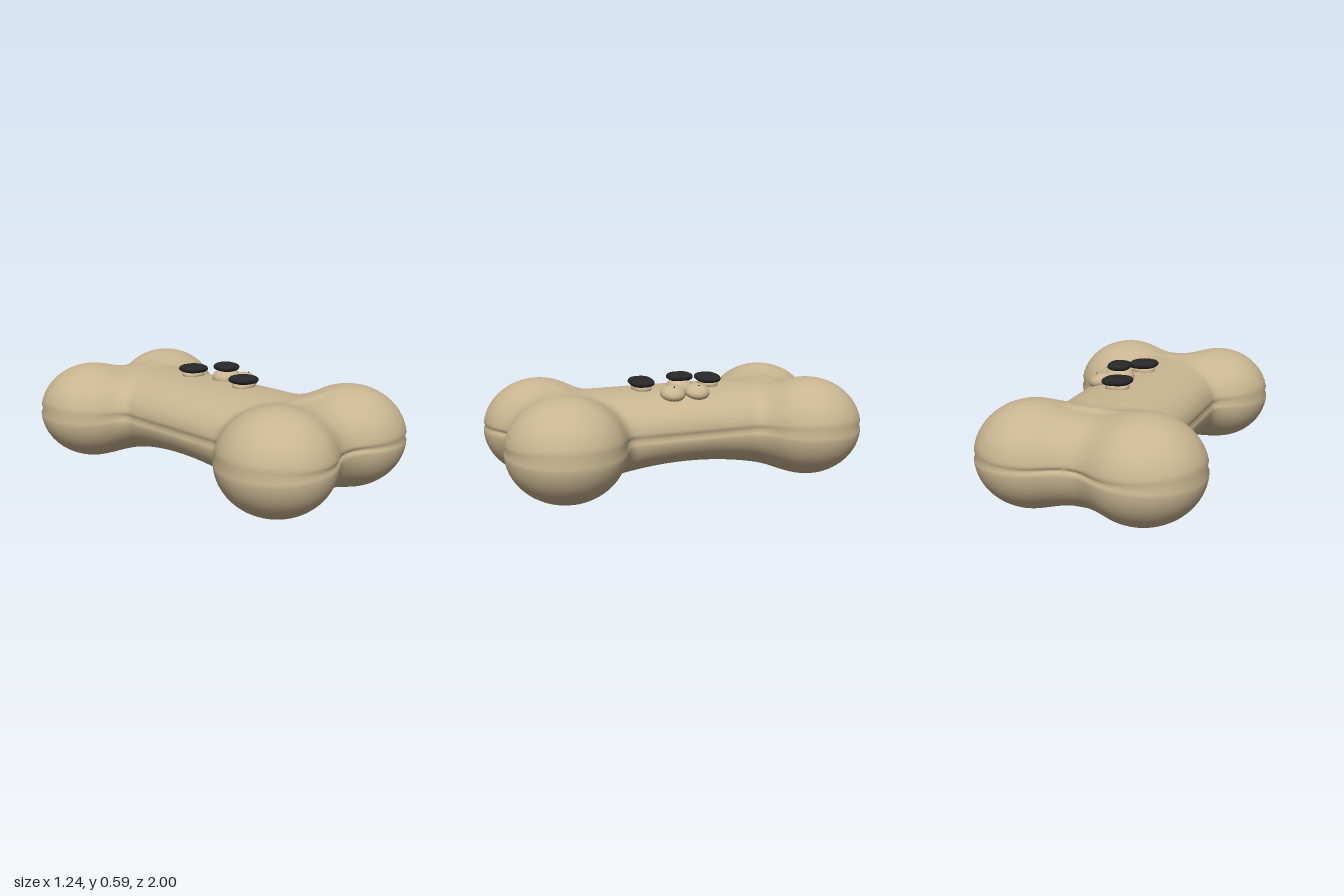
import * as THREE from 'three';
import { mergeVertices } from 'three/addons/utils/BufferGeometryUtils.js';

const fabric = new THREE.MeshStandardMaterial({ color: 0xc9b591 });
fabric.name = 'tan fabric';
const black = new THREE.MeshStandardMaterial({ color: 0x272727 });
black.name = 'black felt';

const SEAM_Y = 0.29;

// Rounded knobs at the bone ends: centre x, z and radii
const knobs = [
  { c: [0.31, 0.275, 0.685], r: [0.31, 0.27, 0.305] },
  { c: [-0.275, 0.27, 0.695], r: [0.3, 0.27, 0.305] },
  { c: [-0.31, 0.27, -0.69], r: [0.31, 0.27, 0.31] },
  { c: [0.26, 0.275, -0.695], r: [0.3, 0.27, 0.305] },
  // stuffing between each pair of knobs
  { c: [0, 0.265, 0.68], r: [0.36, 0.225, 0.225] },
  { c: [-0.02, 0.265, -0.68], r: [0.36, 0.225, 0.225] },
];

function ellipsoid(x, y, z, { c, r }) {
  const a = (x - c[0]) / r[0], b = (y - c[1]) / r[1], d = (z - c[2]) / r[2];
  const k0 = Math.hypot(a, b, d);
  const k1 = Math.hypot(a / r[0], b / r[1], d / r[2]);
  return k1 < 1e-6 ? -r[1] : k0 * (k0 - 1) / k1;
}

function blend(a, b, k) {
  const h = Math.max(k - Math.abs(a - b), 0) / k;
  return Math.min(a, b) - h * h * k * 0.25;
}

// Signed distance to the stuffed bone, with a shallow groove along the seam
function bone(x, y, z) {
  const sag = 0.13 * z * z;
  const u = Math.abs(x + 0.004) / 0.343, v = Math.abs(y - 0.295 + sag) / (0.205 + sag);
  const p = Math.pow(Math.pow(u, 2.3) + Math.pow(v, 2.3), 1 / 2.3);
  let d = Math.max((p - 1) * 0.24, Math.abs(z) - 0.6);
  for (const k of knobs) d = blend(d, ellipsoid(x, y, z, k), 0.07);
  return d + 0.009 * Math.exp(-(((y - SEAM_Y) / 0.012) ** 2));
}

// Capsule-shaped grid of rays, each ended where it meets the bone surface
function boneGeometry() {
  const around = 128, cap = 30, along = 76, half = 0.68;
  const rows = [];
  for (let i = 0; i <= cap; i++) rows.push([-half, -Math.PI / 2 * (1 - i / cap)]);
  for (let i = 1; i < along; i++) rows.push([half * (2 * i / along - 1), 0]);
  for (let i = 0; i <= cap; i++) rows.push([half, Math.PI / 2 * i / cap]);

  const pos = [], index = [];
  rows.forEach(([z0, phi], i) => {
    for (let j = 0; j < around; j++) {
      const t = j / around * Math.PI * 2;
      const pole = i === 0 || i === rows.length - 1;
      const dx = pole ? 0 : Math.cos(t) * Math.cos(phi);
      const dy = pole ? 0 : Math.sin(t) * Math.cos(phi);
      const dz = Math.sin(phi);
      let lo = 0, hi = 1;
      for (let n = 0; n < 24; n++) {
        const m = (lo + hi) / 2;
        if (bone(dx * m, SEAM_Y + dy * m, z0 + dz * m) < 0) lo = m; else hi = m;
      }
      pos.push(dx * lo, SEAM_Y + dy * lo, z0 + dz * lo);
      if (i < rows.length - 1) {
        const a = i * around + j, b = i * around + (j + 1) % around;
        index.push(a, b, a + around, b, b + around, a + around);
      }
    }
  });
  let g = new THREE.BufferGeometry();
  g.setAttribute('position', new THREE.Float32BufferAttribute(pos, 3));
  g.setIndex(index);
  g = mergeVertices(g, 1e-5);
  g.computeVertexNormals();
  return g;
}

// Puffy rounded button of unit radius and unit height, squared off a little in plan
function buttonGeometry() {
  const profile = [];
  for (let i = 0; i <= 16; i++) {
    const a = -Math.PI / 2 + Math.PI * i / 16;
    const c = Math.max(Math.cos(a), 0);
    profile.push(new THREE.Vector2(Math.pow(c, 0.55), 0.5 * Math.sin(a)));
  }
  const g = new THREE.LatheGeometry(profile, 40);
  const p = g.attributes.position;
  for (let i = 0; i < p.count; i++) {
    const x = p.getX(i), z = p.getZ(i), r = Math.hypot(x, z);
    if (r < 1e-6) continue;
    const s = Math.pow(Math.pow(Math.abs(x / r), 2.7) + Math.pow(Math.abs(z / r), 2.7), -1 / 2.7);
    p.setX(i, x * s);
    p.setZ(i, z * s);
  }
  g.computeVertexNormals();
  return g;
}

export function createModel() {
  const model = new THREE.Group();
  model.name = 'plushBone';
  const button = buttonGeometry();
  const ball = new THREE.SphereGeometry(1, 32, 20);

  const add = (name, geometry, material, position, scale, tilt = 0) => {
    const mesh = new THREE.Mesh(geometry, material);
    mesh.name = name;
    mesh.position.set(...position);
    mesh.scale.set(...scale);
    mesh.rotation.z = tilt;
    model.add(mesh);
    return mesh;
  };

  add('boneBody', boneGeometry(), fabric, [0, 0, 0], [1, 1, 1]);

  // Eyes, muzzle pads and whisker dots on either side of the nose
  for (const s of [-1, 1]) {
    const z = s * 0.195;
    add('eyeBase', button, fabric, [0.03, 0.505, z], [0.065, 0.05, 0.05]);
    add('eye', button, black, [0.03, 0.538, z], [0.083, 0.046, 0.067], -0.06);
    add('muzzlePad', ball, fabric, [0.18, 0.492, s * 0.07], [0.068, 0.042, 0.068], -0.25);
    add('whiskerDot', ball, black, [0.205, 0.529, s * 0.07], [0.004, 0.004, 0.004]);
  }

  // Nose on a small bump
  add('noseBump', ball, fabric, [0.1, 0.505, 0], [0.085, 0.055, 0.075]);
  add('nose', button, black, [0.098, 0.567, 0], [0.062, 0.046, 0.07]);

  return model;
}
